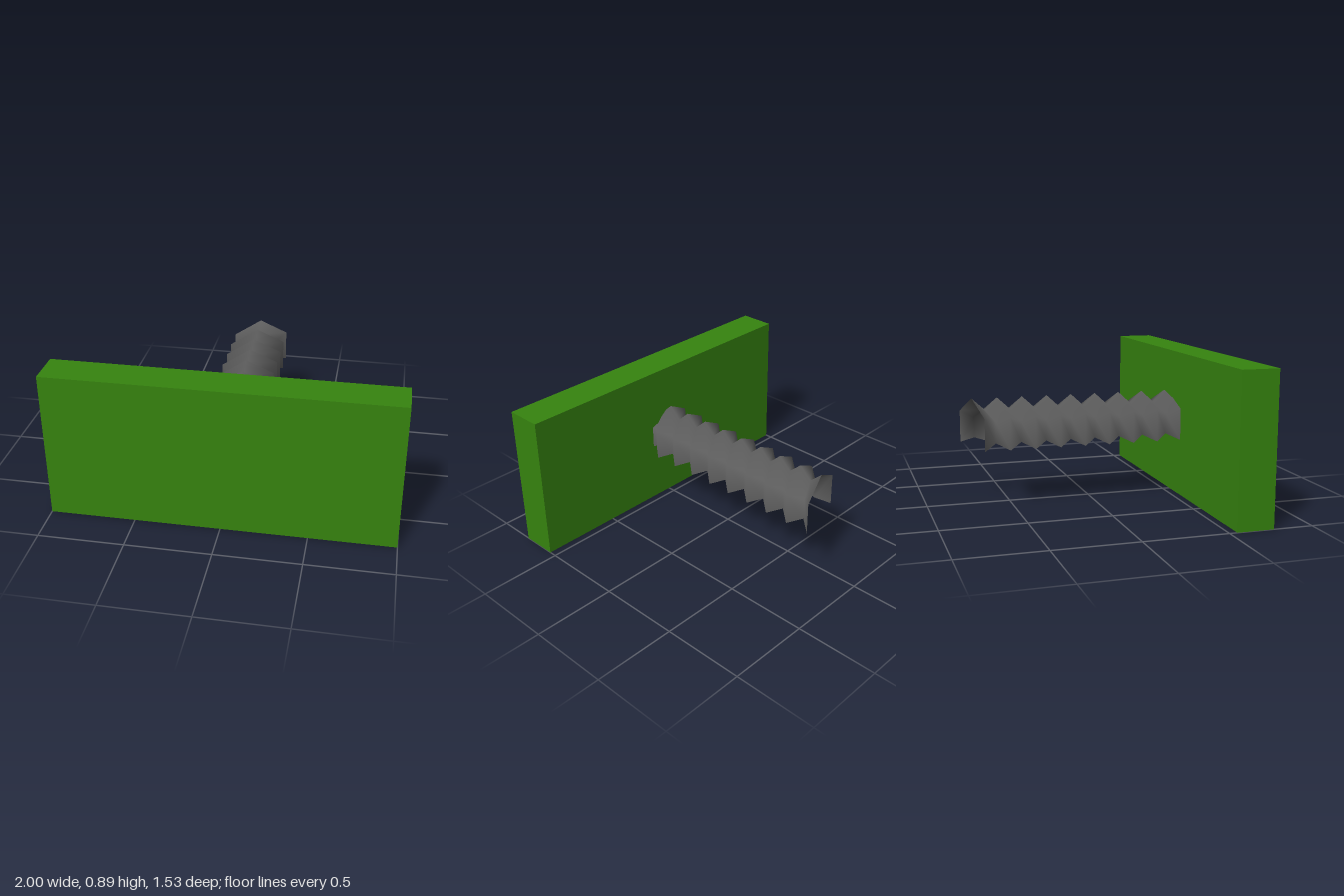
import * as THREE from 'three';

const green = new THREE.MeshStandardMaterial({ color: 0x36840f });
green.name = 'green';
const grey = new THREE.MeshStandardMaterial({ color: 0x5e5e5e, side: THREE.DoubleSide });
grey.name = 'dark grey';

// Ridged hexagonal shell, open underneath, its ridges slanting from one wall to the other
function threadGeometry() {
  const pitch = 0.1526, turns = 9, outer = 0.195, inner = 0.125, centreY = 0.445;
  const startZ = [-0.766, -0.766, -0.72, -0.674, -0.674];
  const rows = turns * 2 + 1;
  const positions = [], indices = [];
  startZ.forEach((z0, i) => {
    const angle = -Math.PI / 6 + i * Math.PI / 3;
    for (let j = 0; j < rows; j++) {
      const r = j % 2 ? inner : outer;
      positions.push(r * Math.cos(angle), centreY + r * Math.sin(angle), z0 + j * pitch / 2);
    }
  });
  for (let i = 0; i < startZ.length - 1; i++) {
    for (let j = 0; j < rows - 1; j++) {
      const a = i * rows + j, b = a + rows;
      indices.push(a, b, b + 1, a, b + 1, a + 1);
    }
  }
  const geometry = new THREE.BufferGeometry();
  geometry.setAttribute('position', new THREE.Float32BufferAttribute(positions, 3));
  geometry.setIndex(indices);
  geometry.computeVertexNormals();
  return geometry;
}

export function createModel() {
  const model = new THREE.Group();
  model.name = 'plateWithScrew';

  // Front plate
  const plate = new THREE.Mesh(new THREE.BoxGeometry(2, 0.888, 0.22), green);
  plate.name = 'plate';
  plate.position.set(0, 0.444, 0.656);
  model.add(plate);

  // Threaded shaft behind the plate
  const thread = new THREE.Mesh(threadGeometry(), grey);
  thread.name = 'screwThread';
  model.add(thread);

  return model;
}
